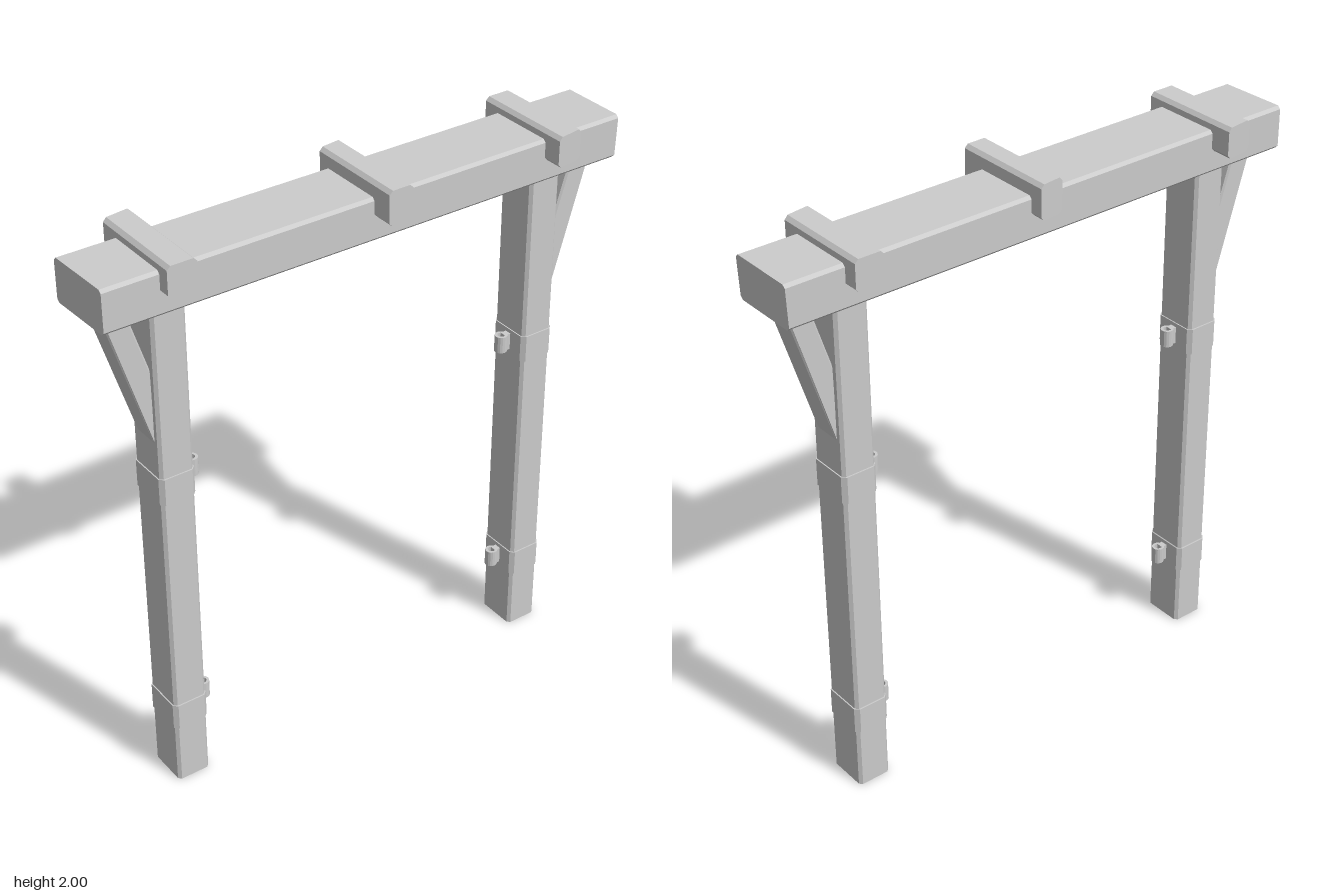
import * as THREE from 'three';

const material = new THREE.MeshStandardMaterial({ color: 0xcccccc });
const openMaterial = new THREE.MeshStandardMaterial({ color: 0xcccccc, side: THREE.DoubleSide });

function add(parent, name, geometry, mat = material) {
  const mesh = new THREE.Mesh(geometry, mat);
  mesh.name = name;
  parent.add(mesh);
  return mesh;
}

// Rectangle with its corners cut off by c
function chamferedRect(w, h, c) {
  const x = w / 2, y = h / 2;
  return new THREE.Shape([
    [x - c, -y], [x, -y + c], [x, y - c], [x - c, y],
    [-x + c, y], [-x, y - c], [-x, -y + c], [-x + c, -y],
  ].map(([a, b]) => new THREE.Vector2(a, b)));
}

// Bar along z, centred
function bar(w, h, length, chamfer) {
  return new THREE.ExtrudeGeometry(chamferedRect(w, h, chamfer), { depth: length, bevelEnabled: false })
    .translate(0, 0, -length / 2);
}

// Upright chamfered column from y0 to y1, optionally without end caps
function column(w, d, y0, y1, chamfer, open = false) {
  const geometry = bar(w, d, y1 - y0, chamfer);
  if (open) {
    const { start, count } = geometry.groups[1];
    for (const key of ['position', 'normal', 'uv']) {
      const a = geometry.attributes[key];
      const part = a.array.slice(start * a.itemSize, (start + count) * a.itemSize);
      geometry.setAttribute(key, new THREE.BufferAttribute(part, a.itemSize));
    }
    geometry.clearGroups();
  }
  return geometry.rotateX(-Math.PI / 2).translate(0, (y0 + y1) / 2, 0);
}

// Cross piece whose sawn ends run from z at the left edge to z at the right edge
function crossPiece(w, h, back, front) {
  const geometry = bar(w, h, 2, 0.012);
  const p = geometry.attributes.position;
  for (let i = 0; i < p.count; i++) {
    const [a, b] = p.getZ(i) < 0 ? back : front;
    p.setZ(i, THREE.MathUtils.lerp(a, b, p.getX(i) / w + 0.5));
  }
  geometry.computeVertexNormals();
  return geometry;
}

// Iron hinge: short plate with a hollow upright knuckle
function hinge(parent, y) {
  const group = new THREE.Group();
  group.name = 'hinge';
  group.position.y = y;
  add(group, 'hingePlate', new THREE.BoxGeometry(0.03, 0.06, 0.024)).position.x = 0.07;
  const ring = new THREE.Shape().absarc(0, 0, 0.022, 0, Math.PI * 2);
  ring.holes.push(new THREE.Path().absarc(0, 0, 0.013, 0, Math.PI * 2, true));
  const knuckle = new THREE.ExtrudeGeometry(ring, { depth: 0.06, bevelEnabled: false, curveSegments: 8 });
  knuckle.rotateX(-Math.PI / 2).translate(0.092, -0.03, 0);
  add(group, 'hingeKnuckle', knuckle);
  parent.add(group);
}

// Post with bands, hinges on its inner (+x) side and a brace on its outer side
function postAssembly(name) {
  const group = new THREE.Group();
  group.name = name;
  add(group, 'post', column(0.118, 0.148, 0, 1.81, 0.01, true), openMaterial);
  for (const y of [0.272, 1.165]) {
    add(group, 'band', column(0.126, 0.158, y - 0.047, y + 0.047, 0.014));
    hinge(group, y + 0.003);
  }
  const outline = new THREE.Shape([
    [-0.207, 1.81], [-0.055, 1.32], [-0.055, 1.58], [-0.127, 1.81],
  ].map(([a, b]) => new THREE.Vector2(a, b)));
  const brace = new THREE.ExtrudeGeometry(outline, {
    depth: 0.088, bevelThickness: 0.006, bevelSize: 0.006, bevelOffset: -0.006, bevelSegments: 1,
  });
  add(group, 'brace', brace.translate(0, 0, -0.044));
  return group;
}

export function createModel() {
  const model = new THREE.Group();
  model.name = 'gateFrame';

  // Posts, the second turned to face the first
  const right = postAssembly('rightPost');
  right.position.x = -0.703;
  const left = postAssembly('leftPost');
  left.position.x = 0.697;
  left.rotation.y = Math.PI;
  model.add(right, left);

  // Lintel beam with a slightly crooked sawn end
  const beam = bar(0.246, 0.147, 1.89, 0.01).rotateY(Math.PI / 2);
  const p = beam.attributes.position;
  for (let i = 0; i < p.count; i++) {
    const x = p.getX(i);
    p.setX(i, x < 0 ? -0.945 + p.getZ(i) * 0.035 : 0.943 + p.getY(i) * 0.04);
  }
  beam.computeVertexNormals();
  add(model, 'beam', beam).position.set(0, 1.875, -0.002);

  // Cross pieces let into the top of the beam
  const pieces = [
    [-0.703, 1.928, 0.1, 0.105, [-0.185, -0.198], [0.163, 0.163]],
    [0.033, 1.941, 0.088, 0.118, [-0.16, -0.17], [0.195, 0.195]],
    [0.696, 1.928, 0.1, 0.105, [-0.175, -0.175], [0.187, 0.172]],
  ];
  for (const [x, y, w, h, back, front] of pieces) {
    add(model, 'crossPiece', crossPiece(w, h, back, front)).position.set(x, y, 0);
  }
  return model;
}
